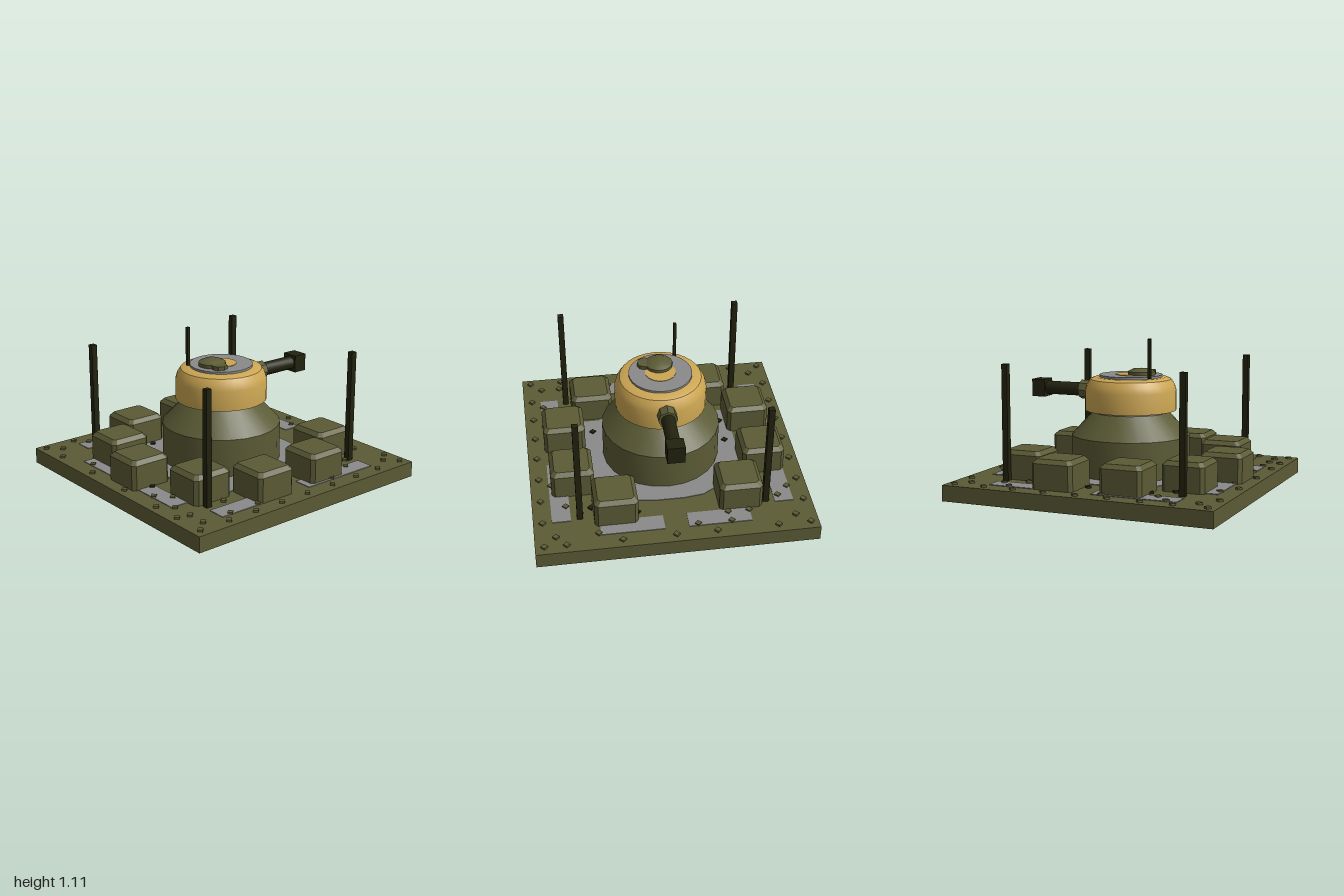
import * as THREE from 'three';
import { toCreasedNormals } from 'three/addons/utils/BufferGeometryUtils.js';

const mat = (name, color) => Object.assign(new THREE.MeshStandardMaterial({ color }), { name });

export function createModel() {
  const model = new THREE.Group();
  const olive = mat('olive', 0x5b5b36);
  const grey = mat('grey', 0x8a8a8a);
  const gold = mat('gold', 0xcca653);
  const dark = mat('darkOlive', 0x22220f);
  const FLOOR = 0.115;

  const add = (name, geo, material, x = 0, y = 0, z = 0) => {
    const m = new THREE.Mesh(geo, material);
    m.name = name;
    m.position.set(x, y, z);
    model.add(m);
    return m;
  };
  const box = (name, material, w, h, d, x, y, z) =>
    add(name, new THREE.BoxGeometry(w, h, d), material, x, y, z);
  const lathe = (name, material, profile, sides, x = 0, z = 0) => add(name, toCreasedNormals(
    new THREE.LatheGeometry(profile.map(p => new THREE.Vector2(...p)), sides), 0.6), material, x, 0, z);
  // Shape extruded upwards from the ground plane; shape y becomes -z
  const slab = (points, height, steps = 1) => {
    const shape = new THREE.Shape(points.map(p => new THREE.Vector2(...p)));
    return new THREE.ExtrudeGeometry(shape, { depth: height, bevelEnabled: false, steps });
  };

  // Hollow base: top plate and four thin walls
  box('baseTop', olive, 2, 0.015, 2, 0, FLOOR - 0.0075, 0);
  for (const s of [-1, 1]) {
    box('baseWall', olive, 2, 0.1, 0.03, 0, 0.05, s * 0.985);
    box('baseWall', olive, 0.03, 0.1, 1.94, s * 0.985, 0.05, 0);
  }

  // Grey floor panels along the edges
  for (const s of [-1, 1]) for (const t of [-1, 1]) {
    box('edgePanel', grey, 0.62, 0.005, 0.135, s * 0.39, FLOOR + 0.0025, t * 0.8);
    box('edgePanel', grey, 0.135, 0.005, 0.45, s * 0.8, FLOOR + 0.0025, t * 0.31);
  }

  // Grey floor panel under the tower
  const quarter = [[0.57, 0.1], [0.55, 0.24], [0.5, 0.32], [0.4, 0.43], [0.4, 0.575]];
  const half = [...quarter, ...quarter.map(([x, y]) => [-x, y]).reverse()];
  const centre = slab([...half, ...half.map(([x, y]) => [-x, -y])], 0.005);
  centre.rotateX(-Math.PI / 2);
  add('centrePanel', centre, grey, 0, FLOOR, 0);

  // Rivets: small diamond studs
  const stud = new THREE.CylinderGeometry(0.025, 0.025, 0.015, 4).toNonIndexed();
  stud.computeVertexNormals();
  const rivet = (material, x, z) => add('rivet', stud, material, x, FLOOR + 0.0075, z);
  for (const x of [-0.94, -0.7, -0.47, -0.235, 0, 0.24, 0.475, 0.7, 0.935])
    for (const z of [-0.94, 0.935]) rivet(olive, x, z);
  for (const z of [-0.71, -0.31, 0.09, 0.46, 0.69]) rivet(olive, -0.94, z);
  for (const z of [-0.71, -0.275, 0.015, 0.39, 0.78]) rivet(olive, 0.935, z);
  for (const z of [-0.85, -0.44, -0.14, 0.31, 0.55, 0.71, 0.85]) rivet(olive, -0.85, z);
  for (const z of [-0.85, -0.39, -0.15, 0.55, 0.85]) rivet(olive, 0.85, z);
  [[-0.62, -0.85], [-0.53, -0.765], [-0.15, -0.85], [0.55, -0.85], [0.635, -0.765], [0.76, -0.53],
    [0.76, -0.38], [0.49, -0.675], [0.635, 0.665], [0.55, 0.76], [0.03, 0.67], [0.315, 0.85],
    [-0.53, 0.67], [-0.62, 0.85], [-0.38, 0.85], [-0.76, 0.405]].forEach(p => rivet(olive, ...p));
  [[-0.265, -0.5], [-0.03, -0.5], [0.025, -0.675], [-0.585, -0.585], [-0.675, -0.21], [-0.585, -0.115],
    [-0.76, 0.17], [-0.265, 0.49], [-0.06, 0.76], [0.585, 0.58], [0.675, 0.26],
    [-0.44, -0.675], [0.12, 0.59]].forEach(p => rivet(dark, ...p));

  // Chamfered blocks around the tower, leaving a gap below the gun
  const a = 0.155, c = 0.13;
  const blockGeo = slab([[a, -c], [a, c], [c, a], [-c, a], [-a, c], [-a, -c], [-c, -a], [c, -a]], 0.21, 2);
  const pos = blockGeo.attributes.position;
  for (let i = 0; i < pos.count; i++) {
    const h = pos.getZ(i);
    if (h > 0.2) pos.setXY(i, pos.getX(i) * 0.82, pos.getY(i) * 0.82);
    else if (h > 0.1) pos.setZ(i, 0.18);
  }
  blockGeo.rotateX(-Math.PI / 2);
  const block = blockGeo.toNonIndexed ? toCreasedNormals(blockGeo, 0.1) : blockGeo;
  [[-0.285, -0.695], [0.215, -0.715], [0.58, -0.48], [-0.625, -0.42], [-0.75, 0],
    [-0.58, 0.475], [-0.22, 0.715], [0.285, 0.695], [0.625, 0.415]]
    .forEach(([x, z]) => add('block', block, olive, x, FLOOR, z));

  // Corner posts
  for (const x of [-0.668, 0.668]) for (const z of [-0.668, 0.668])
    box('cornerPost', dark, 0.043, 0.83, 0.043, x, FLOOR + 0.415, z);

  // Tower and turret
  lathe('tower', olive, [[0.435, FLOOR], [0.435, 0.395], [0.275, 0.565], [0, 0.565]], 24);
  lathe('turretRing', grey, [[0.28, 0.56], [0.28, 0.576]], 32);
  lathe('turret', gold, [[0, 0.575], [0.335, 0.575], [0.335, 0.72], [0.322, 0.765],
    [0.297, 0.803], [0.26, 0.818], [0, 0.818]], 32);
  lathe('roofPlate', grey, [[0.23, 0.815], [0.23, 0.834], [0, 0.834]], 32);
  lathe('roofCentre', gold, [[0.112, 0.834], [0.112, 0.838], [0, 0.838]], 24);

  // Hatch, periscope and antenna
  lathe('hatch', olive, [[0.1, 0.834], [0.1, 0.86], [0.065, 0.878], [0, 0.884]], 16, -0.085, 0);
  lathe('periscope', olive, [[0.058, 0.834], [0.058, 0.862], [0, 0.866]], 8, -0.1, 0.1);
  box('antenna', dark, 0.022, 0.285, 0.022, -0.202, 0.967, -0.133);

  // Gun pointing to +x
  const tube = (name, material, r, x0, x1, sides) => {
    const g = new THREE.CylinderGeometry(r, r, x1 - x0, sides);
    g.rotateZ(Math.PI / 2);
    add(name, toCreasedNormals(g, 0.6), material, (x0 + x1) / 2, 0.705, 0);
  };
  tube('gunMantle', olive, 0.07, 0.28, 0.4, 8);
  tube('gunBarrel', dark, 0.05, 0.39, 0.7, 16);
  box('gunMuzzle', dark, 0.105, 0.13, 0.125, 0.733, 0.705, 0);

  return model;
}
